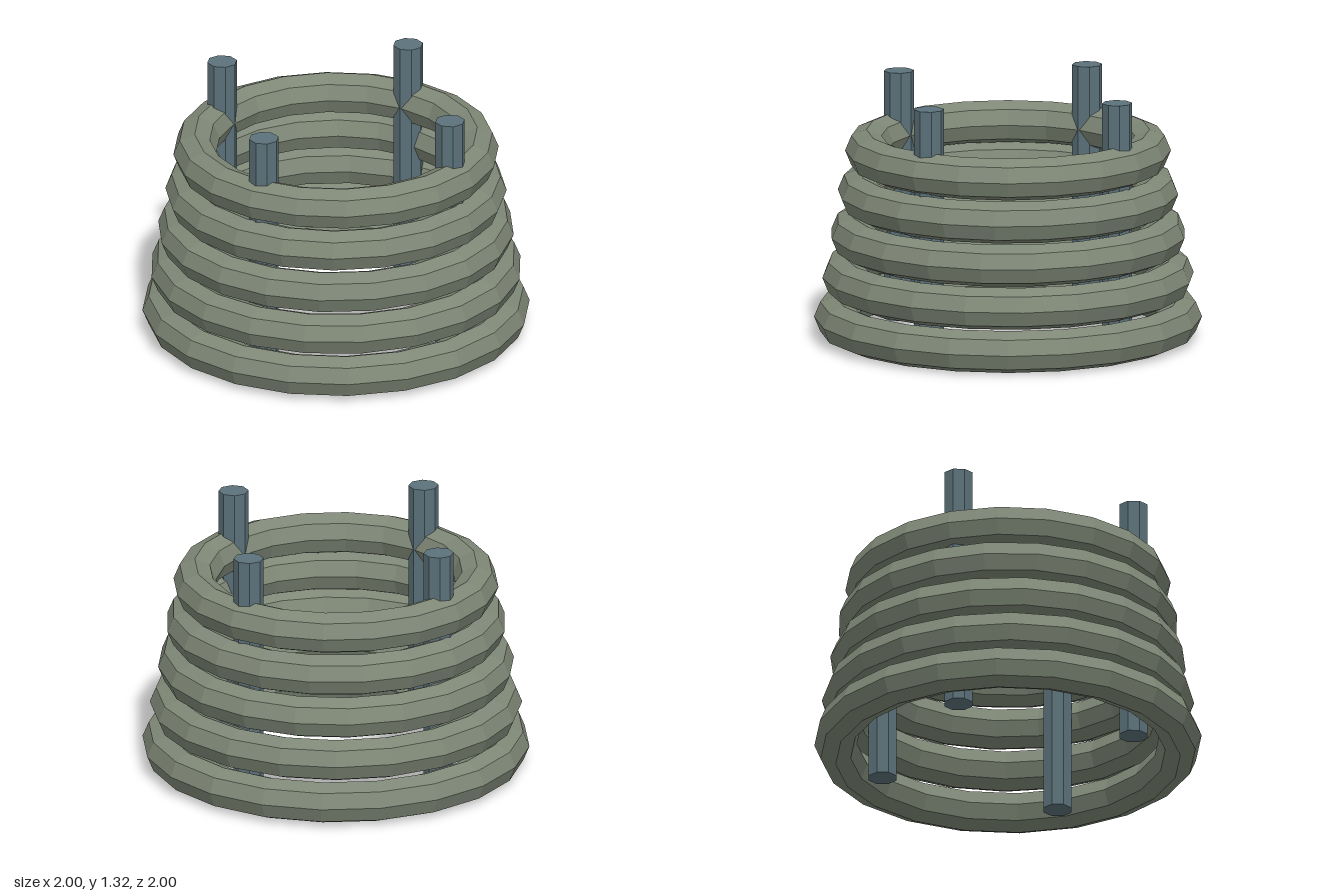
import * as THREE from 'three';

export function createModel() {
  const model = new THREE.Group();
  model.name = 'ringStack';

  const ringMaterial = new THREE.MeshStandardMaterial({ color: 0x7f8877, flatShading: true });
  ringMaterial.name = 'sage grey';
  const postMaterial = new THREE.MeshStandardMaterial({ color: 0x5c727a, flatShading: true });
  postMaterial.name = 'slate blue';

  // Five stacked rings, each narrower and turned a little from the one below
  const tube = 0.11;
  for (let i = 0; i < 5; i++) {
    const geometry = new THREE.TorusGeometry(0.89 - i * 0.04, tube, 8, 20);
    geometry.rotateX(Math.PI / 2);
    const ring = new THREE.Mesh(geometry, ringMaterial);
    ring.name = `ring${i + 1}`;
    ring.position.y = tube + i * 0.21875;
    ring.rotation.y = THREE.MathUtils.degToRad(4.5 * i);
    model.add(ring);
  }

  // Four upright posts inside the rings
  const bottom = 0.015, top = 1.32;
  const postGeometry = new THREE.CylinderGeometry(0.078, 0.078, top - bottom, 8);
  ['frontPost', 'leftPost', 'backPost', 'rightPost'].forEach((name, i) => {
    const angle = i * Math.PI / 2;
    const post = new THREE.Mesh(postGeometry, postMaterial);
    post.name = name;
    post.position.set(Math.sin(angle) * 0.695, (top + bottom) / 2, Math.cos(angle) * 0.695);
    model.add(post);
  });

  return model;
}
